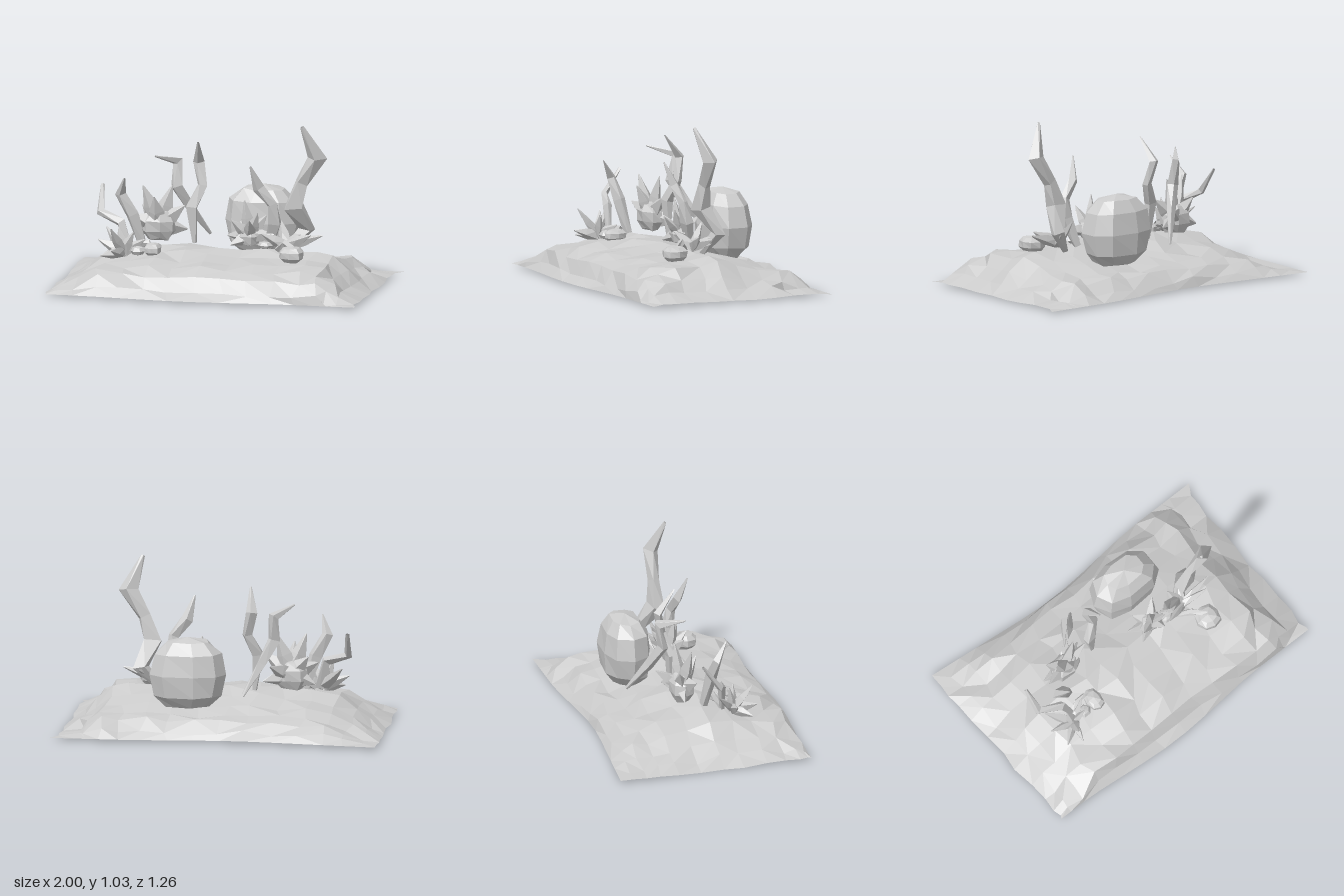
import * as THREE from 'three';

const mat = new THREE.MeshStandardMaterial({ color: 0xcccccc, flatShading: true, side: THREE.DoubleSide });

// Small repeatable noise in the range -1..1
const noise = (a, b) => {
  const s = Math.sin(a * 127.1 + b * 311.7) * 43758.5453;
  return (s - Math.floor(s)) * 2 - 1;
};

function mesh(name, geo) {
  const m = new THREE.Mesh(geo, mat);
  m.name = name;
  return m;
}

function fromIndexed(pos, idx) {
  let g = new THREE.BufferGeometry();
  g.setAttribute('position', new THREE.Float32BufferAttribute(pos, 3));
  g.setIndex(idx);
  g = g.toNonIndexed();
  g.computeVertexNormals();
  return g;
}

// Sandy mound: one ridge profile, scaled along its length, closed underneath
function mound() {
  const zs = [-0.6, -0.54, -0.47, -0.38, -0.26, -0.12, 0.03, 0.15, 0.3, 0.42, 0.51, 0.56, 0.6];
  const ridge = [0, 0.045, 0.105, 0.12, 0.16, 0.205, 0.245, 0.215, 0.185, 0.165, 0.13, 0.05, 0];
  const xs = [-1, -0.9, -0.8, -0.68, -0.52, -0.36, -0.2, -0.04, 0.12, 0.28, 0.44, 0.58, 0.7, 0.78, 0.84, 1];
  const scale = [0, 0.2, 0.45, 0.82, 0.94, 1.02, 1.04, 1, 0.95, 0.98, 1, 1, 0.95, 0.58, 0.3, 0.04];
  const nx = xs.length, nz = zs.length, count = nx * nz;
  const top = [], bottom = [], idx = [];
  zs.forEach((z0, j) => xs.forEach((x0, i) => {
    const edgeX = i === 0 || i === nx - 1, edgeZ = j === 0 || j === nz - 1;
    const inner = !edgeX && !edgeZ;
    let x = x0, z = z0;
    // wavy outline: the middle of the strip swings forward
    const bow = THREE.MathUtils.clamp(1.25 - Math.abs(x0 + 0.12) / 0.5, 0, 1);
    if (j === 0) z = (x0 < -0.7 ? -0.635 - 0.1 * (x0 + 1) * -1 : -0.61) + 0.05 * bow;
    else if (j === nz - 1) z = 0.58 + 0.045 * bow;
    if (i === 0) x = -1 + 0.025 * (z + 0.6) / 1.2 + (edgeZ ? 0 : 0.012 * noise(j, 4));
    if (i === nx - 1) x = (edgeZ ? 0.975 : 0.955) + (j === 0 ? 0.02 : 0.02 * noise(j, 9));
    if (inner) {
      x += 0.025 * noise(i, j);
      z += 0.016 * noise(i + 20, j);
    }
    const base = 0.024 - 0.016 * Math.max(0, 1 - Math.abs(z + 0.05) / 0.4);
    let y = base + ridge[j] * scale[i];
    if (inner) y += 0.018 * noise(i, j + 40);
    top.push(x, Math.max(y, base + (inner ? 0.006 : 0)), z);
    bottom.push(x, edgeX || edgeZ ? y : base, z);
  }));
  for (let j = 0; j < nz - 1; j++) for (let i = 0; i < nx - 1; i++) {
    const a = j * nx + i, b = a + 1, c = a + nx, d = c + 1;
    if (noise(i, j + 7) > 0) idx.push(a, c, b, b, c, d);
    else idx.push(a, c, d, a, d, b);
    idx.push(a + count, b + count, c + count, b + count, d + count, c + count);
  }
  return mesh('sandMound', fromIndexed([...top, ...bottom], idx));
}

// Four-sided twisted blade along a bent path, given as [x, y, z, radius] from tip to root
function blade(name, path) {
  const pts = path.map(p => new THREE.Vector3(p[0], p[1], p[2]));
  const pos = [], idx = [], ref = new THREE.Vector3(0.25, 0.1, 1).normalize();
  pts.forEach((p, i) => {
    const t = pts[Math.min(i + 1, pts.length - 1)].clone().sub(pts[Math.max(i - 1, 0)]).normalize();
    const u = new THREE.Vector3().crossVectors(t, ref).normalize();
    const v = new THREE.Vector3().crossVectors(t, u);
    for (let k = 0; k < 4; k++) {
      const a = k * Math.PI / 2 + i * 0.3, r = path[i][3];
      const q = p.clone().addScaledVector(u, Math.cos(a) * r).addScaledVector(v, Math.sin(a) * r * 0.7);
      pos.push(q.x, q.y, q.z);
      if (i) {
        const n = (k + 1) % 4, A = (i - 1) * 4, B = i * 4;
        idx.push(A + k, A + n, B + k, A + n, B + n, B + k);
      }
    }
  });
  return mesh(name, fromIndexed(pos, idx));
}

// Faceted, irregular stone; power below 1 makes it blockier
function stone(name, center, size, across, down, rough, power = 1) {
  const g = new THREE.SphereGeometry(1, across, down);
  const p = g.attributes.position, v = new THREE.Vector3();
  const block = c => Math.sign(c) * Math.abs(c) ** power;
  for (let i = 0; i < p.count; i++) {
    v.fromBufferAttribute(p, i);
    const k = 1 + rough * noise(Math.round(v.x * 50) / 50 + 3, Math.round(v.y * 50 + v.z * 90) / 50);
    p.setXYZ(i, block(v.x) * size[0] * k, block(v.y) * size[1] * k, block(v.z) * size[2] * k);
  }
  const flat = g.toNonIndexed();
  flat.computeVertexNormals();
  const m = mesh(name, flat);
  m.position.set(...center);
  return m;
}

// Spikes fanning out from one centre
function spikes(name, c, tips, r) {
  const g = new THREE.Group();
  g.name = name;
  tips.forEach(t => g.add(blade('spike', [
    [...t, 0.004],
    [c[0] + (t[0] - c[0]) * 0.5, c[1] + (t[1] - c[1]) * 0.5, c[2] + (t[2] - c[2]) * 0.5, r * 0.8],
    [...c, r]
  ])));
  return g;
}

export function createModel() {
  const model = new THREE.Group();
  model.name = 'seabed';
  model.add(mound());
  model.add(stone('boulder', [0.2, 0.375, -0.26], [0.232, 0.225, 0.147], 9, 6, 0.04, 0.8));

  // Tall bent weeds
  const weeds = [
    [[0.52, 1.03, 0.09, 0.012], [0.6, 0.83, 0.02, 0.062], [0.5, 0.67, 0.01, 0.045], [0.45, 0.52, 0.01, 0.075], [0.51, 0.37, -0.08, 0.055], [0.4, 0.24, -0.02, 0.025]],
    [[0.21, 0.78, 0.14, 0.006], [0.25, 0.64, 0.09, 0.038], [0.33, 0.54, 0.07, 0.035], [0.34, 0.42, 0.05, 0.05], [0.29, 0.25, 0, 0.03]],
    [[-0.16, 0.88, -0.05, 0.006], [-0.18, 0.74, -0.16, 0.036], [-0.15, 0.6, -0.13, 0.034], [-0.21, 0.47, -0.09, 0.045], [-0.19, 0.25, -0.09, 0.015]],
    [[-0.43, 0.78, -0.06, 0.005], [-0.32, 0.73, -0.2, 0.034], [-0.32, 0.58, -0.17, 0.042], [-0.25, 0.44, -0.24, 0.034], [-0.15, 0.26, -0.35, 0.01]],
    [[-0.75, 0.6, -0.04, 0.012], [-0.74, 0.45, 0.07, 0.028], [-0.6, 0.4, 0.12, 0.034], [-0.54, 0.23, 0.14, 0.02]],
    [[-0.57, 0.68, 0.16, 0.005], [-0.61, 0.57, 0.09, 0.035], [-0.54, 0.44, 0.07, 0.045], [-0.48, 0.24, 0.04, 0.03]]
  ];
  weeds.forEach(w => model.add(blade('weed', w)));

  // Spiny urchin on the left half
  const u = [-0.41, 0.35, -0.08];
  model.add(stone('urchinBody', u, [0.11, 0.1, 0.075], 7, 5, 0.12));
  model.add(spikes('urchinSpines', u, [
    [-0.5, 0.6, -0.04], [-0.33, 0.6, -0.1], [-0.42, 0.54, 0.01], [-0.25, 0.48, -0.08],
    [-0.57, 0.42, -0.03], [-0.56, 0.3, -0.1], [-0.3, 0.42, -0.21], [-0.25, 0.32, -0.16], [-0.52, 0.47, -0.12]
  ], 0.06));

  // Spiky coral on the right half
  const c = [0.18, 0.33, 0.02];
  model.add(stone('coralBody', c, [0.08, 0.07, 0.055], 7, 4, 0.12));
  model.add(spikes('coralSpines', c, [
    [0.15, 0.55, 0.04], [0.24, 0.48, 0.08], [0.08, 0.43, 0.08], [0.03, 0.32, -0.02],
    [0.26, 0.44, -0.07], [0.07, 0.28, 0.08], [0.34, 0.35, 0.06], [0.2, 0.44, 0.13], [0.1, 0.4, -0.06]
  ], 0.045));
  model.add(spikes('coralLeaves', [0.41, 0.28, 0.04], [
    [0.63, 0.35, 0.02], [0.27, 0.36, 0.1], [0.57, 0.36, 0.08], [0.36, 0.42, -0.04], [0.52, 0.36, -0.12]
  ], 0.04));

  // Low anemone tuft near the front left
  model.add(spikes('anemone', [-0.57, 0.23, 0.2], [
    [-0.73, 0.3, 0.18], [-0.62, 0.39, 0.31], [-0.5, 0.36, 0.22], [-0.69, 0.22, 0.29],
    [-0.6, 0.38, 0.17], [-0.45, 0.3, 0.13], [-0.61, 0.26, 0.34], [-0.7, 0.36, 0.08]
  ], 0.038));

  // Shells and pebbles
  model.add(stone('largeShell', [0.48, 0.26, 0.2], [0.08, 0.05, 0.08], 8, 5, 0.06, 0.85));
  model.add(blade('shellStalk', [[0.48, 0.29, 0.19, 0.025], [0.42, 0.31, 0.12, 0.025], [0.36, 0.26, 0.07, 0.02]]));
  model.add(stone('smallShell', [-0.39, 0.25, 0.17], [0.055, 0.04, 0.075], 8, 5, 0.06, 0.85));
  model.add(blade('shellStalk', [[-0.42, 0.28, 0.12, 0.02], [-0.48, 0.27, 0.12, 0.025], [-0.53, 0.23, 0.14, 0.02]]));
  model.add(stone('pebble', [-0.48, 0.24, 0.19], [0.045, 0.03, 0.04], 6, 4, 0.08));
  model.add(stone('pebble', [0.28, 0.28, 0.05], [0.045, 0.025, 0.03], 6, 4, 0.08));
  return model;
}
